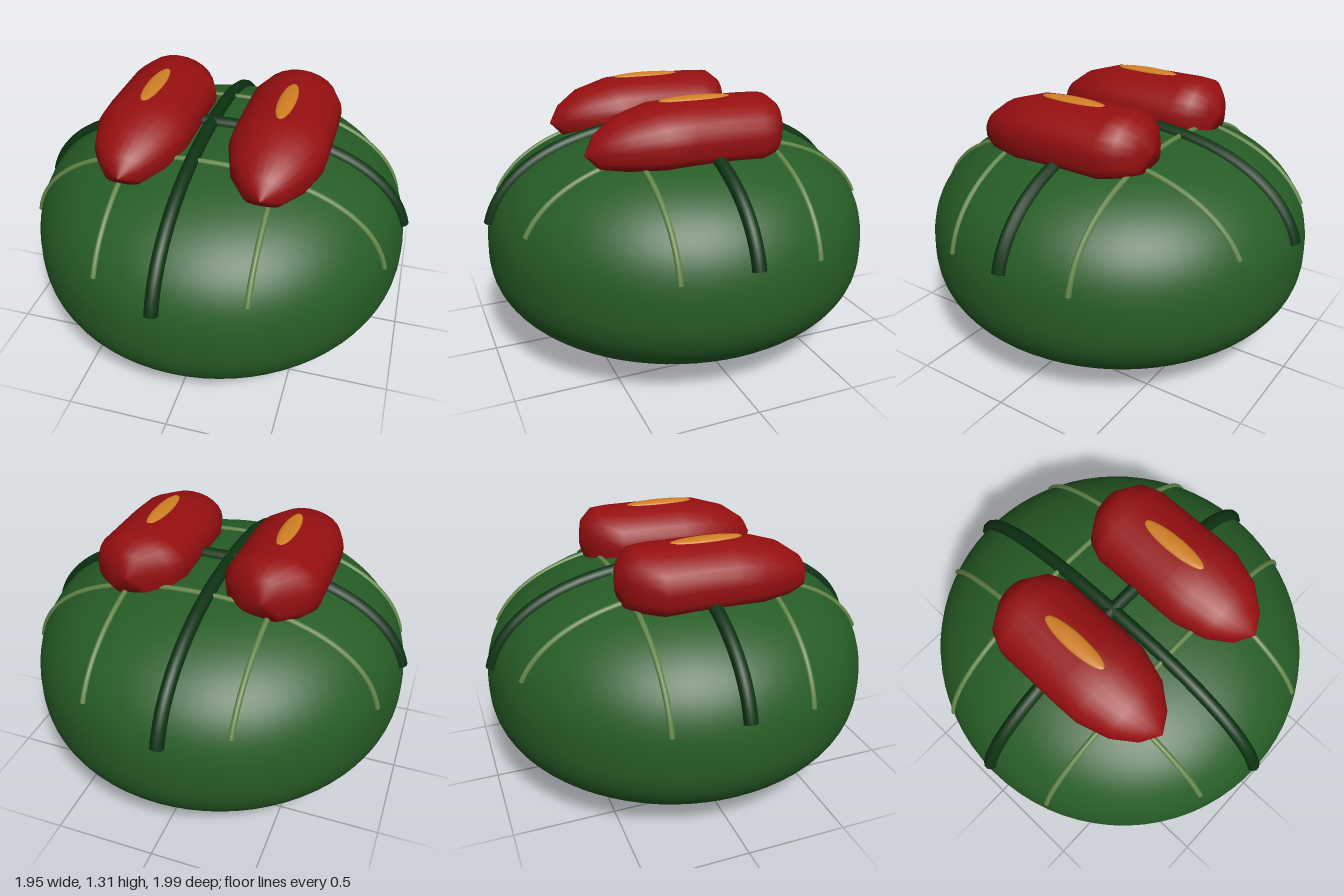
import * as THREE from 'three';

const RX = 0.965, RZ = 0.985, MID = 0.5, UP = 0.61, POWER = 2.4;

const mat = (name, color) => {
  const m = new THREE.MeshStandardMaterial({ color });
  m.name = name;
  return m;
};

// Height of the upper body surface above a point in plan
const surfaceY = (x, z) => {
  const r = Math.min(1, Math.hypot(x / RX, z / RZ));
  return MID + UP * Math.pow(1 - Math.pow(r, POWER), 1 / POWER);
};

// Squashed round body, a lathed superellipse
function bodyGeometry() {
  const pts = [];
  const n = 48;
  for (let i = 0; i <= n; i++) {
    const t = -Math.PI / 2 + (Math.PI * i) / n;
    const r = i === 0 || i === n ? 0 : Math.pow(Math.cos(t), 2 / POWER);
    const s = Math.sin(t);
    const h = Math.sign(s) * Math.pow(Math.abs(s), 2 / POWER);
    pts.push(new THREE.Vector2(r * RX, MID + h * (s > 0 ? UP : MID)));
  }
  return new THREE.LatheGeometry(pts, 72).scale(1, 1, RZ / RX);
}

// Band draped over the body, along x or z, with closed ends
function band(name, alongX, offset, reach, radius, material) {
  const g = new THREE.Group();
  g.name = name;
  const pts = [];
  for (let i = 0; i <= 40; i++) {
    const s = reach * Math.sin((i / 40 - 0.5) * Math.PI);
    const x = alongX ? s : offset, z = alongX ? offset : s;
    pts.push(new THREE.Vector3(x, surfaceY(x, z), z));
  }
  const curve = new THREE.CatmullRomCurve3(pts);
  g.add(new THREE.Mesh(new THREE.TubeGeometry(curve, 64, radius, 10), material));
  for (const t of [0, 1]) {
    const cap = new THREE.Mesh(new THREE.CircleGeometry(radius, 10), material);
    const dir = curve.getTangentAt(t).multiplyScalar(t ? 1 : -1);
    cap.position.copy(curve.getPointAt(t));
    cap.quaternion.setFromUnitVectors(new THREE.Vector3(0, 0, 1), dir);
    g.add(cap);
  }
  g.children.forEach((m) => (m.name = name));
  return g;
}

// Domed pod lofted front to back: z, half width, top, bottom
function podGeometry() {
  const stations = [
    [0.577, 0, 1.08, 1.08], [0.52, 0.095, 1.17, 1.02], [0.41, 0.18, 1.245, 1.01],
    [0.25, 0.23, 1.293, 1.0], [0.12, 0.234, 1.302, 1.0], [-0.23, 0.234, 1.302, 1.0],
    [-0.32, 0.195, 1.298, 1.02], [-0.385, 0.1, 1.25, 1.035], [-0.412, 0, 1.13, 1.13],
  ];
  const n = 24, pos = [], idx = [];
  stations.forEach(([z, w, top, bottom], i) => {
    const mid = bottom + (top - bottom) * 0.46;
    for (let j = 0; j < n; j++) {
      const a = (j / n) * Math.PI * 2;
      const c = Math.cos(a), s = Math.sin(a);
      const e = s < 0 ? 0.6 : 1;
      const x = Math.sign(c) * Math.pow(Math.abs(c), e) * w;
      const y = s < 0 ? mid - (mid - bottom) * Math.pow(-s, e) : mid + (top - mid) * s;
      pos.push(x, y, z);
      if (i < stations.length - 1) {
        const k = (j + 1) % n;
        const p = i * n + j, q = i * n + k;
        idx.push(p, p + n, q, q, p + n, q + n);
      }
    }
  });
  const g = new THREE.BufferGeometry();
  g.setAttribute('position', new THREE.Float32BufferAttribute(pos, 3));
  g.setIndex(idx);
  g.computeVertexNormals();
  return g;
}

export function createModel() {
  const model = new THREE.Group();
  model.name = 'roundBodyWithPods';
  const green = mat('leafGreen', 0x265c26);
  const dark = mat('darkGreen', 0x0d3212);
  const pale = mat('paleGreen', 0x628548);
  const red = mat('deepRed', 0x960f10);
  const orange = mat('orange', 0xd07f24);

  const body = new THREE.Mesh(bodyGeometry(), green);
  body.name = 'body';
  model.add(body);

  // Two thick crossing straps
  model.add(band('longStrap', false, -0.05, 0.964, 0.034, dark));
  model.add(band('crossStrap', true, 0, 0.945, 0.034, dark));

  // Thin seams and pods on both sides
  const podGeo = podGeometry();
  for (const side of [-1, 1]) {
    const label = side > 0 ? 'left' : 'right';
    model.add(band(label + 'LongSeam', false, side * 0.355, 0.87, 0.014, pale));
    model.add(band(side > 0 ? 'frontSeam' : 'backSeam', true, side * 0.34, 0.892, 0.014, pale));

    const pod = new THREE.Group();
    pod.name = label + 'Pod';
    pod.position.x = side * 0.33;
    const shell = new THREE.Mesh(podGeo, red);
    shell.name = 'podShell';
    // Thin oval spot on the crest
    const spot = new THREE.Mesh(new THREE.SphereGeometry(1, 32, 16), orange);
    spot.name = 'podSpot';
    spot.scale.set(0.043, 0.016, 0.182);
    spot.position.set(0, 1.298, 0.035);
    pod.add(shell, spot);
    model.add(pod);
  }
  return model;
}
